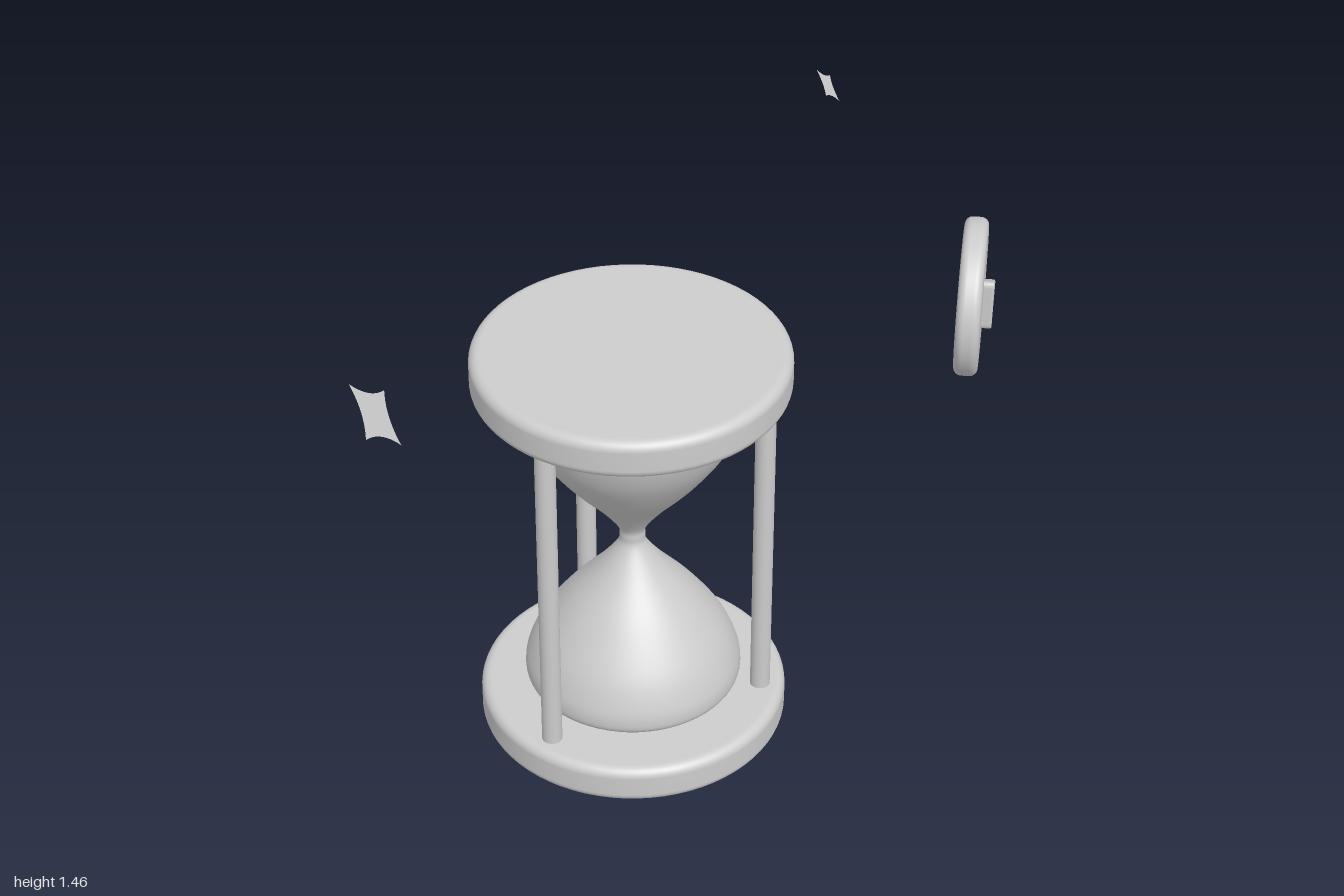
import * as THREE from 'three';

const CX = -0.09; // hourglass axis
const NECK = 0.543; // height of the glass neck

// Disc with rounded rims, standing on y = 0
function roundedDisc(radius, height, bevel) {
  const pts = [new THREE.Vector2(0, 0), new THREE.Vector2(radius - bevel - 0.004, 0)];
  for (const [cy, start] of [[bevel, -Math.PI / 2], [height - bevel, 0]]) {
    for (let i = 0; i <= 8; i++) {
      const a = start + (i / 8) * Math.PI / 2;
      pts.push(new THREE.Vector2(radius - bevel + bevel * Math.cos(a), cy + bevel * Math.sin(a)));
    }
  }
  pts.push(new THREE.Vector2(radius - bevel - 0.004, height), new THREE.Vector2(0, height));
  return new THREE.LatheGeometry(pts, 72);
}

// Hourglass bulbs: half profile of [radius, distance from the neck], mirrored
function glassGeometry() {
  const half = [[0.032, 0], [0.038, 0.03], [0.086, 0.097], [0.165, 0.19], [0.232, 0.285],
    [0.263, 0.355], [0.27, 0.395], [0.264, 0.418], [0.24, 0.432], [0.2, 0.443]];
  const up = half.map(([r, d]) => new THREE.Vector2(r, NECK + d));
  const down = half.slice(1).reverse().map(([r, d]) => new THREE.Vector2(r, NECK - d));
  const pts = new THREE.SplineCurve([...down, ...up]).getPoints(90);
  pts.unshift(new THREE.Vector2(0, NECK - 0.443));
  pts.push(new THREE.Vector2(0, NECK + 0.443));
  return new THREE.LatheGeometry(pts, 64);
}

// Triangle with rounded corners, pointing along +x
function triangleShape(r, round) {
  const c = [0, 1, 2].map((i) => new THREE.Vector2(
    r * Math.cos(i * Math.PI * 2 / 3), r * Math.sin(i * Math.PI * 2 / 3)));
  const shape = new THREE.Shape();
  c.forEach((p, i) => {
    const a = p.clone().lerp(c[(i + 2) % 3], round);
    const b = p.clone().lerp(c[(i + 1) % 3], round);
    if (i === 0) shape.moveTo(a.x, a.y);
    else shape.lineTo(a.x, a.y);
    shape.quadraticCurveTo(p.x, p.y, b.x, b.y);
  });
  shape.closePath();
  return shape;
}

// Four-pointed star with concave edges
function starShape(r) {
  const shape = new THREE.Shape();
  shape.moveTo(r, 0);
  for (const [cx, cy, x, y] of [[1, 1, 0, 1], [-1, 1, -1, 0], [-1, -1, 0, -1], [1, -1, 1, 0]]) {
    shape.quadraticCurveTo(cx * r * 0.29, cy * r * 0.29, x * r, y * r);
  }
  return shape;
}

export function createModel() {
  const model = new THREE.Group();
  const grey = new THREE.MeshStandardMaterial({ color: 0xcccccc });
  grey.name = 'light grey';
  grey.side = THREE.DoubleSide;

  const add = (parent, name, geometry, x = 0, y = 0, z = 0) => {
    const mesh = new THREE.Mesh(geometry, grey);
    mesh.name = name;
    mesh.position.set(x, y, z);
    parent.add(mesh);
    return mesh;
  };

  // Hourglass: two plates, glass and three posts
  const hourglass = new THREE.Group();
  hourglass.name = 'hourglass';
  hourglass.position.x = CX;
  model.add(hourglass);
  const plate = roundedDisc(0.383, 0.1, 0.025);
  add(hourglass, 'basePlate', plate);
  add(hourglass, 'topPlate', plate, 0, 0.985, 0);
  add(hourglass, 'glass', glassGeometry());
  const post = new THREE.CylinderGeometry(0.025, 0.025, 0.9, 32);
  for (let i = 0; i < 3; i++) {
    const a = Math.PI / 4 + i * Math.PI * 2 / 3;
    add(hourglass, 'post' + (i + 1), post, 0.322 * Math.cos(a), NECK, 0.322 * Math.sin(a));
  }

  // Round button with a raised triangle, turned to the front left
  const button = new THREE.Group();
  button.name = 'playButton';
  button.position.set(0.842, 0.946, 0.16);
  button.rotation.y = Math.PI / 4;
  model.add(button);
  add(button, 'buttonDisc', roundedDisc(0.198, 0.06, 0.02), 0, 0, -0.03).rotation.x = Math.PI / 2;
  const triangle = new THREE.ExtrudeGeometry(triangleShape(0.087, 0.16), {
    depth: 0.025, curveSegments: 8, bevelThickness: 0.005, bevelSize: 0.005,
    bevelOffset: -0.005, bevelSegments: 3,
  });
  add(button, 'playTriangle', triangle, 0, 0, 0.026);

  // Flat sparkles facing up and to the front left
  for (const [name, r, x, z] of [['largeSparkle', 0.091, -0.931, 0.23], ['smallSparkle', 0.052, 0.72, -0.272]]) {
    const star = add(model, name, new THREE.ShapeGeometry(starShape(r), 10), x, 1.39, z);
    star.rotation.set(-Math.asin(1 / Math.sqrt(3)), Math.PI / 4, 0, 'YXZ');
  }
  return model;
}
